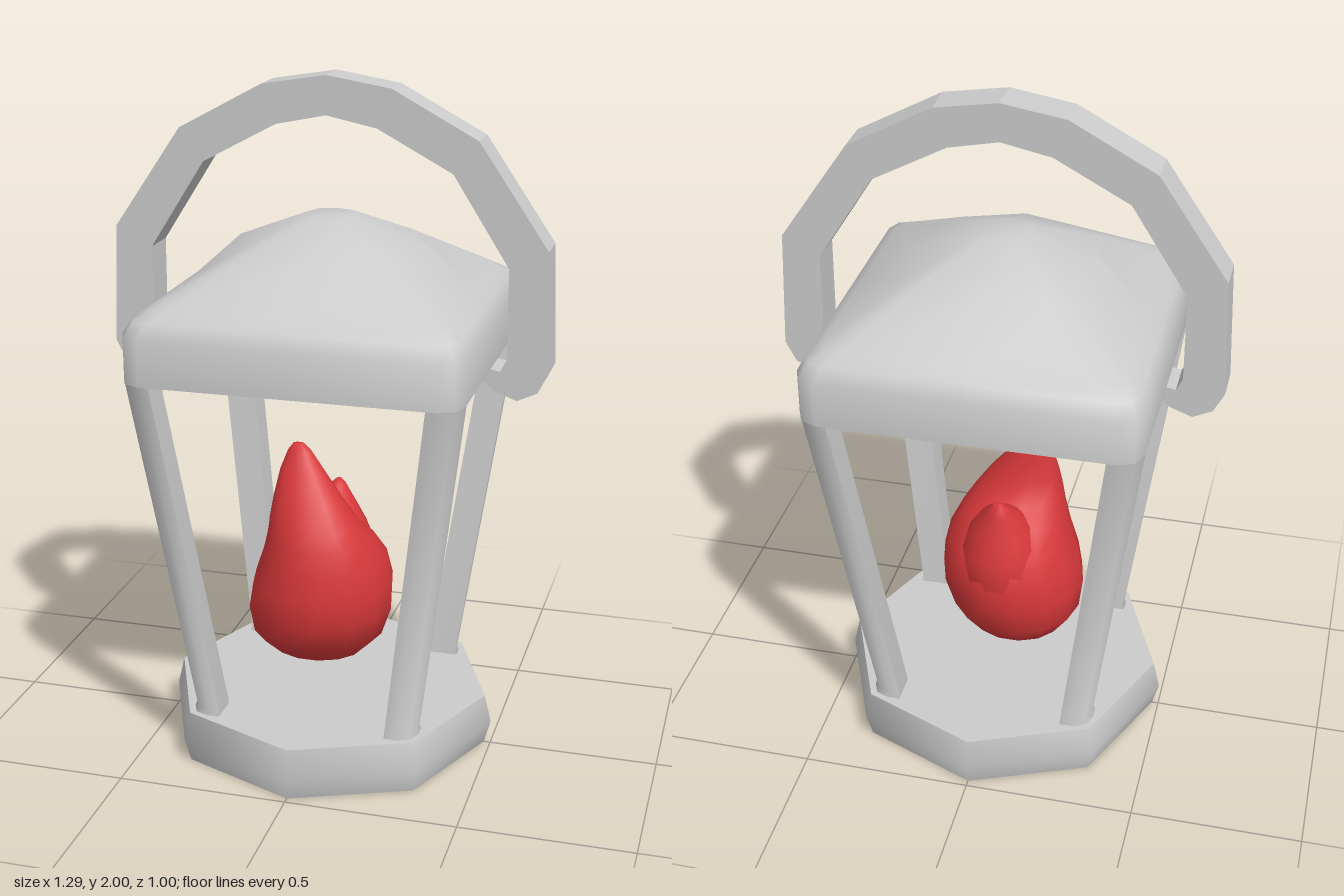
import * as THREE from 'three';
import { toCreasedNormals } from 'three/addons/utils/BufferGeometryUtils.js';

const grey = new THREE.MeshStandardMaterial({ color: 0xcccccc });
const red = new THREE.MeshStandardMaterial({ color: 0xd8383a });

// Skin a closed solid over rings of [x, y, z] points, listed from bottom to top
function loft(rings, crease) {
  const pos = [];
  const tri = (a, b, c) => pos.push(...a, ...b, ...c);
  const centre = (ring) => [0, 1, 2].map((k) => ring.reduce((s, p) => s + p[k], 0) / ring.length);
  const n = rings[0].length;
  const top = rings[rings.length - 1];
  const c0 = centre(rings[0]);
  const c1 = centre(top);
  for (let j = 0; j < n; j++) {
    const k = (j + 1) % n;
    tri(c0, rings[0][j], rings[0][k]);
    for (let i = 0; i < rings.length - 1; i++) {
      const lo = rings[i];
      const hi = rings[i + 1];
      tri(lo[j], hi[j], lo[k]);
      tri(lo[k], hi[j], hi[k]);
    }
    tri(c1, top[k], top[j]);
  }
  const geo = new THREE.BufferGeometry();
  geo.setAttribute('position', new THREE.Float32BufferAttribute(pos, 3));
  return toCreasedNormals(geo, crease);
}

function part(name, geo, material = grey) {
  const mesh = new THREE.Mesh(geo, material);
  mesh.name = name;
  return mesh;
}

// Ellipse ring given by its extents in x and z
function ellipse(y, x0, x1, z0, z1, sides) {
  return Array.from({ length: sides }, (_, i) => {
    const a = (i / sides) * Math.PI * 2;
    return [(x0 + x1) / 2 + (Math.cos(a) * (x1 - x0)) / 2, y, (z0 + z1) / 2 + (Math.sin(a) * (z1 - z0)) / 2];
  });
}

const circle = (y, r, sides) => ellipse(y, -r, r, -r, r, sides);

// Square ring with bevelled corners
function roundedSquare(y, w, c) {
  const ring = [];
  for (let q = 0; q < 4; q++) {
    const a = (q * Math.PI) / 2;
    for (const [x, z] of [[w, 0], [w, w - c], [w - 0.3 * c, w - 0.3 * c], [w - c, w]]) {
      ring.push([x * Math.cos(a) - z * Math.sin(a), y, x * Math.sin(a) + z * Math.cos(a)]);
    }
  }
  return ring;
}

// Round ring whose points line up with the rounded square
const roundRing = (y, r) =>
  roundedSquare(y, 0.42, 0.06).map(([x, , z]) => {
    const d = r / Math.hypot(x, z);
    return [x * d, y, z * d];
  });

export function createModel() {
  const model = new THREE.Group();
  model.name = 'lantern';

  // Octagonal base plate
  model.add(part('base', loft([circle(0, 0.48, 8), circle(0.07, 0.5, 8), circle(0.155, 0.48, 8)], 1)));

  // Four leaning corner posts: y, inner side, outer side, bevel
  const postRings = [
    [0.005, 0.24, 0.335, 0.04],
    [0.07, 0.245, 0.365, 0.04],
    [0.17, 0.25, 0.336, 0.055],
    [1.21, 0.386, 0.478, 0.065],
  ].map(([y, a, b, c]) => [
    [a, y, a], [b, y, a], [b, y, b - c], [b - 0.3 * c, y, b - 0.3 * c], [b - c, y, b], [a, y, b],
  ]);
  const postGeo = loft(postRings, 1);
  const posts = new THREE.Group();
  posts.name = 'posts';
  for (let i = 0; i < 4; i++) {
    const post = part('post', postGeo);
    post.rotation.y = (i * Math.PI) / 2;
    posts.add(post);
  }
  model.add(posts);

  // Roof: square eaves blending into a round dome
  model.add(part('roof', loft([
    roundedSquare(1.2, 0.478, 0.065),
    roundedSquare(1.33, 0.478, 0.065),
    roundedSquare(1.372, 0.455, 0.06),
    roundedSquare(1.395, 0.42, 0.06),
    roundRing(1.53, 0.27),
    roundRing(1.605, 0.075),
  ], 1)));

  // Faceted carrying handle with hooked ends under the eaves
  const outer = [[0.185, 1.97], [0.43, 1.838], [0.63, 1.545], [0.643, 1.2], [0.612, 1.14], [0.555, 1.113], [0.49, 1.137]];
  const inner = [[0.41, 1.2], [0.48, 1.2], [0.505, 1.195], [0.523, 1.23], [0.522, 1.49], [0.36, 1.745], [0.145, 1.86]];
  const right = [[0, 2], ...outer, ...inner, [0, 1.89]];
  const left = [...inner, ...outer].length
    ? right.slice(1, -1).reverse().map(([x, y]) => [-x, y])
    : [];
  const shape = new THREE.Shape([...right, ...left].map(([x, y]) => new THREE.Vector2(x, y)));
  const handleGeo = new THREE.ExtrudeGeometry(shape, { depth: 0.114, bevelEnabled: false });
  handleGeo.translate(0, 0, -0.057);
  model.add(part('handle', handleGeo));

  // Flame with a tall main tongue and a small one behind: y, x range, z range
  const tongue = (rows) => loft(rows.map((r) => ellipse(...r, 14)), Math.PI);
  const flame = new THREE.Group();
  flame.name = 'flame';
  flame.add(part('mainTongue', tongue([
    [0.225, -0.11, 0.02, -0.06, 0.03],
    [0.265, -0.18, 0.1, -0.12, 0.125],
    [0.33, -0.232, 0.162, -0.165, 0.205],
    [0.42, -0.242, 0.193, -0.187, 0.246],
    [0.5, -0.228, 0.196, -0.188, 0.248],
    [0.58, -0.2, 0.178, -0.162, 0.238],
    [0.65, -0.178, 0.142, -0.1, 0.222],
    [0.7, -0.166, 0.108, -0.03, 0.2],
    [0.77, -0.153, 0.06, 0.01, 0.16],
    [0.85, -0.137, -0.002, 0.024, 0.108],
    [0.905, -0.117, -0.045, 0.033, 0.074],
    [0.928, -0.1, -0.068, 0.045, 0.062],
  ]), red));
  flame.add(part('smallTongue', tongue([
    [0.4, -0.1, 0.08, -0.16, 0.0],
    [0.5, -0.14, 0.12, -0.188, 0.05],
    [0.58, -0.13, 0.12, -0.178, 0.06],
    [0.65, -0.1, 0.09, -0.158, 0.04],
    [0.695, -0.07, 0.06, -0.145, 0.0],
    [0.725, -0.05, 0.035, -0.136, -0.055],
    [0.752, -0.03, 0.015, -0.13, -0.086],
    [0.766, -0.015, 0.002, -0.12, -0.1],
  ]), red));
  model.add(flame);

  return model;
}
